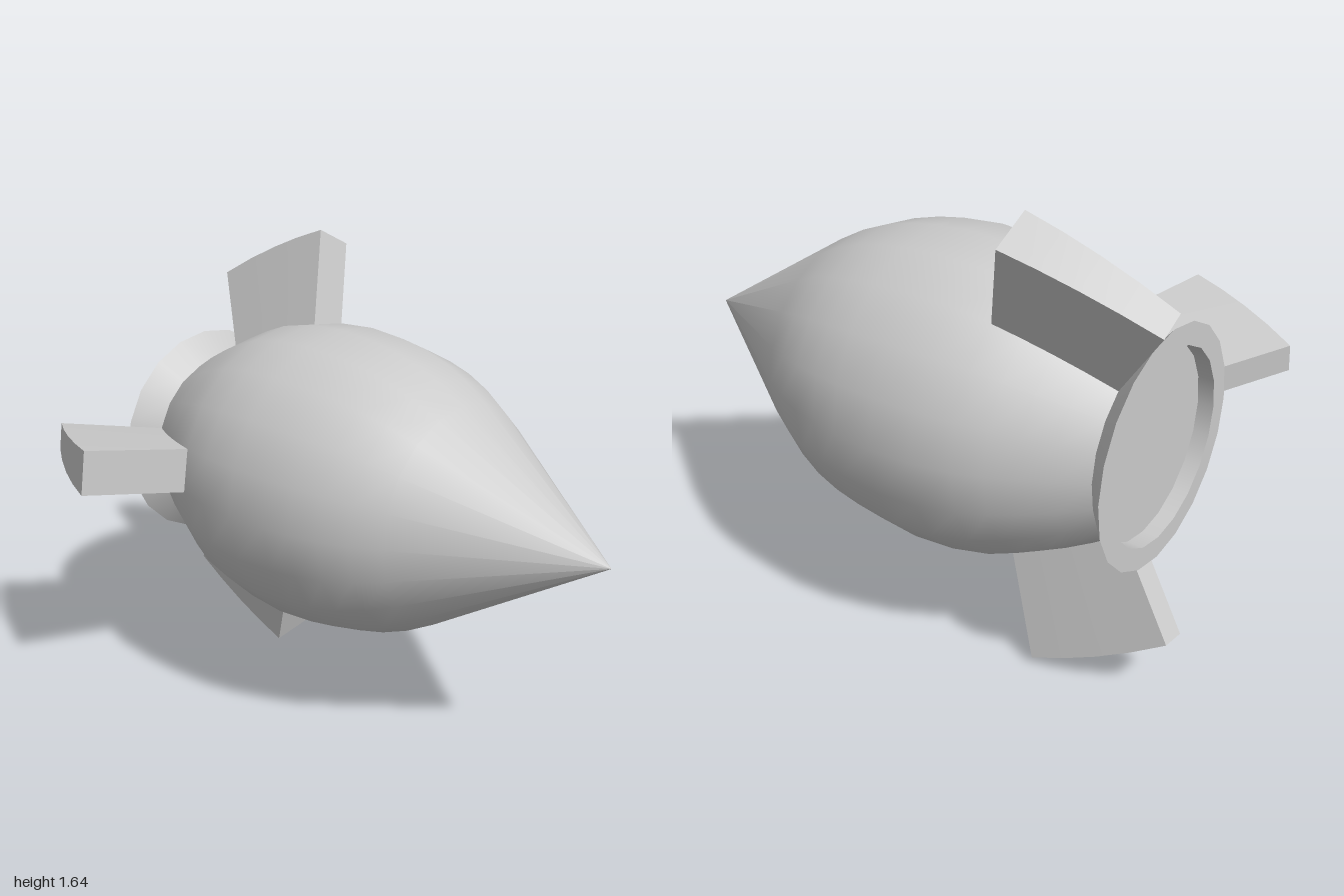
import * as THREE from 'three';

const SIDES = 20;
const material = new THREE.MeshStandardMaterial({ color: 0xcccccc });

// Rear hull radius, t = 0 at the fin's front edge, t = 1 at the tail
const Z0 = -0.43, Z1 = -0.8;
const rearZ = t => Z0 + (Z1 - Z0) * t;
const rearRadius = t => 0.502 - 0.133 * t - 0.059 * t * t;

// Surface of revolution about z; points are [radius, z], rear to front
function lathe(name, points) {
  const geo = new THREE.LatheGeometry(points.map(p => new THREE.Vector2(...p)), SIDES);
  geo.rotateX(Math.PI / 2);
  const mesh = new THREE.Mesh(geo, material);
  mesh.name = name;
  return mesh;
}

// Fin: one hull facet strip pushed out along its normals, narrowing to the rear
function fin(name, degrees) {
  const geo = new THREE.BoxGeometry(1, 1, 1, 1, 1, 4);
  const pos = geo.attributes.position;
  const half = Math.PI / SIDES;
  for (let i = 0; i < pos.count; i++) {
    const t = 0.5 - pos.getZ(i);
    const height = 0.37 * (pos.getY(i) + 0.5);
    const tilt = THREE.MathUtils.degToRad(19 + 14 * t);
    const r = rearRadius(t);
    pos.setXYZ(
      i,
      pos.getX(i) * 2 * r * Math.sin(half),
      r * Math.cos(half) + height * Math.cos(tilt),
      rearZ(t) - height * Math.sin(tilt)
    );
  }
  geo.computeVertexNormals();
  const mesh = new THREE.Mesh(geo, material);
  mesh.name = name;
  mesh.rotation.z = THREE.MathUtils.degToRad(degrees - 90);
  return mesh;
}

export function createModel() {
  const group = new THREE.Group();
  group.name = 'rocket';
  const rocket = new THREE.Group();
  rocket.name = 'rocketAssembly';
  rocket.position.set(0.15, 0.85, 0);
  group.add(rocket);

  // Hull from tail to pointed nose
  const rear = [1, 0.75, 0.5, 0.25, 0].map(t => [rearRadius(t), rearZ(t)]);
  rocket.add(lathe('hull', [
    ...rear,
    [0.53, -0.3], [0.54, -0.15], [0.528, 0], [0.511, 0.1],
    [0.484, 0.2], [0.443, 0.3], [0.387, 0.4], [0, 1],
  ]));

  // Flared nozzle with a shallow recess, each band kept sharp-edged
  const nozzle = [[0, -0.82], [0.325, -0.82], [0.325, -0.875], [0.4, -0.875], [0.31, -0.8]];
  const bands = ['nozzleFloor', 'nozzleInnerWall', 'nozzleRim', 'nozzleFlare'];
  bands.forEach((name, i) => rocket.add(lathe(name, [nozzle[i], nozzle[i + 1]])));

  // Three fins
  rocket.add(fin('upperFin', 63), fin('rightFin', 171), fin('lowerFin', 279));
  return group;
}
